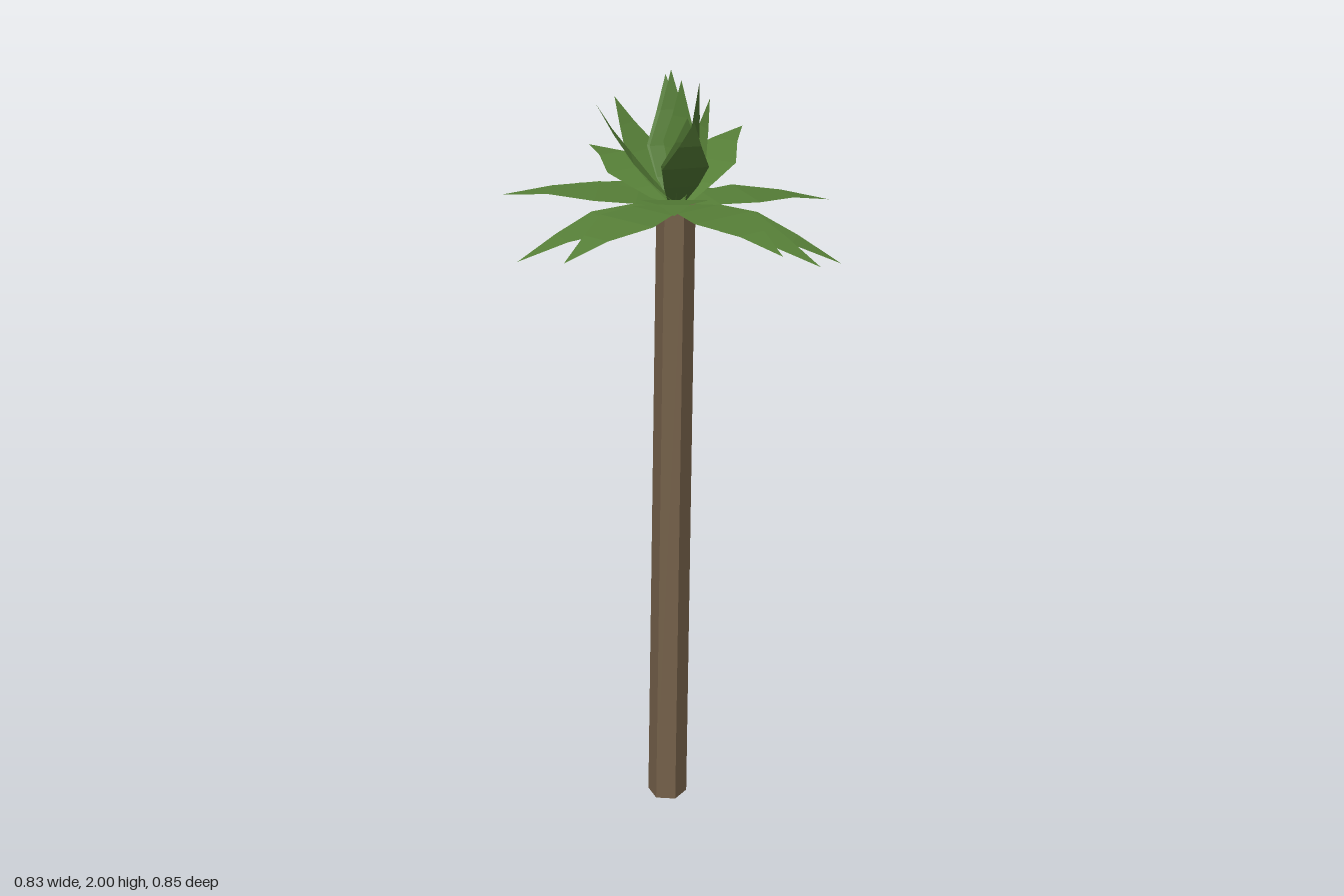
import * as THREE from 'three';

const bark = new THREE.MeshStandardMaterial({ color: 0x746049, flatShading: true });
bark.name = 'bark brown';
const green = new THREE.MeshStandardMaterial({ color: 0x578038, flatShading: true, side: THREE.DoubleSide });
green.name = 'leaf green';

// A flat pointed leaf: a strip that follows a bent path from base to tip.
function leaf(name, base, control, tip, outline) {
  const path = new THREE.QuadraticBezierCurve3(base, control, tip);
  const across = new THREE.Vector3(tip.z - base.z, 0, base.x - tip.x).normalize();
  const points = [], index = [];
  outline.forEach(([t, half], i) => {
    const p = path.getPoint(t);
    for (const s of [-1, 1]) {
      const q = p.clone().addScaledVector(across, s * half);
      points.push(q.x, q.y, q.z);
    }
    if (i) {
      const a = 2 * (i - 1);
      index.push(a, a + 1, a + 2);
      if (half > 0) index.push(a + 1, a + 3, a + 2);
    }
  });
  const g = new THREE.BufferGeometry();
  g.setAttribute('position', new THREE.Float32BufferAttribute(points, 3));
  g.setIndex(index);
  g.computeVertexNormals();
  const m = new THREE.Mesh(g, green);
  m.name = name;
  return m;
}

export function createModel() {
  const model = new THREE.Group();
  model.name = 'palmTree';

  // Six-sided trunk, sheared so that it leans towards +x
  const height = 1.69;
  const trunkGeo = new THREE.CylinderGeometry(0.048, 0.053, height, 6, 1, false, Math.PI / 2);
  trunkGeo.translate(0, height / 2, 0);
  const pos = trunkGeo.attributes.position;
  for (let i = 0; i < pos.count; i++) pos.setX(i, pos.getX(i) - 0.032 + 0.04 * pos.getY(i) / height);
  trunkGeo.computeVertexNormals();
  const trunk = new THREE.Mesh(trunkGeo, bark);
  trunk.name = 'trunk';
  model.add(trunk);

  // Wide ring of arching leaves, given by their tips
  const spreading = new THREE.Group();
  spreading.name = 'spreadingLeaves';
  const wide = [[0, 0.025], [0.22, 0.06], [0.45, 0.08], [0.72, 0.036], [1, 0]];
  [
    [-0.02, 1.655, -0.425], [0.17, 1.735, -0.39], [0.4, 1.595, -0.14], [0.412, 1.78, -0.075],
    [0.373, 1.645, 0.215], [0.147, 1.575, 0.39], [0, 1.615, 0.42], [-0.135, 1.675, 0.4],
    [-0.325, 1.79, 0.23], [-0.415, 1.655, -0.015], [-0.36, 1.605, -0.2], [-0.217, 1.705, -0.36],
  ].forEach(([x, y, z]) => {
    const base = new THREE.Vector3(0.008, 1.685, 0);
    const control = new THREE.Vector3(x * 0.5, (1.685 + y) / 2 + 0.05, z * 0.5);
    spreading.add(leaf('spreadingLeaf', base, control, new THREE.Vector3(x, y, z), wide));
  });
  model.add(spreading);

  // Upright tuft in the middle
  const tuft = new THREE.Group();
  tuft.name = 'uprightLeaves';
  const slim = [[0, 0.02], [0.25, 0.042], [0.5, 0.057], [0.75, 0.027], [1, 0]];
  [
    [0.03, 1.92, -0.2], [-0.115, 1.94, -0.145], [0.105, 1.975, -0.1], [-0.11, 1.94, 0.135],
    [-0.03, 1.92, 0.06], [0.065, 2, -0.055], [0.025, 1.99, 0.055], [0.085, 1.94, 0.045],
    [0.03, 1.99, 0],
  ].forEach(([x, y, z]) => {
    const k = 0.5 + 0.02 / Math.hypot(x, z);
    const base = new THREE.Vector3(0.01, 1.69, 0);
    const control = new THREE.Vector3(x * k, 1.8, z * k);
    tuft.add(leaf('uprightLeaf', base, control, new THREE.Vector3(x, y, z), slim));
  });
  model.add(tuft);

  return model;
}
